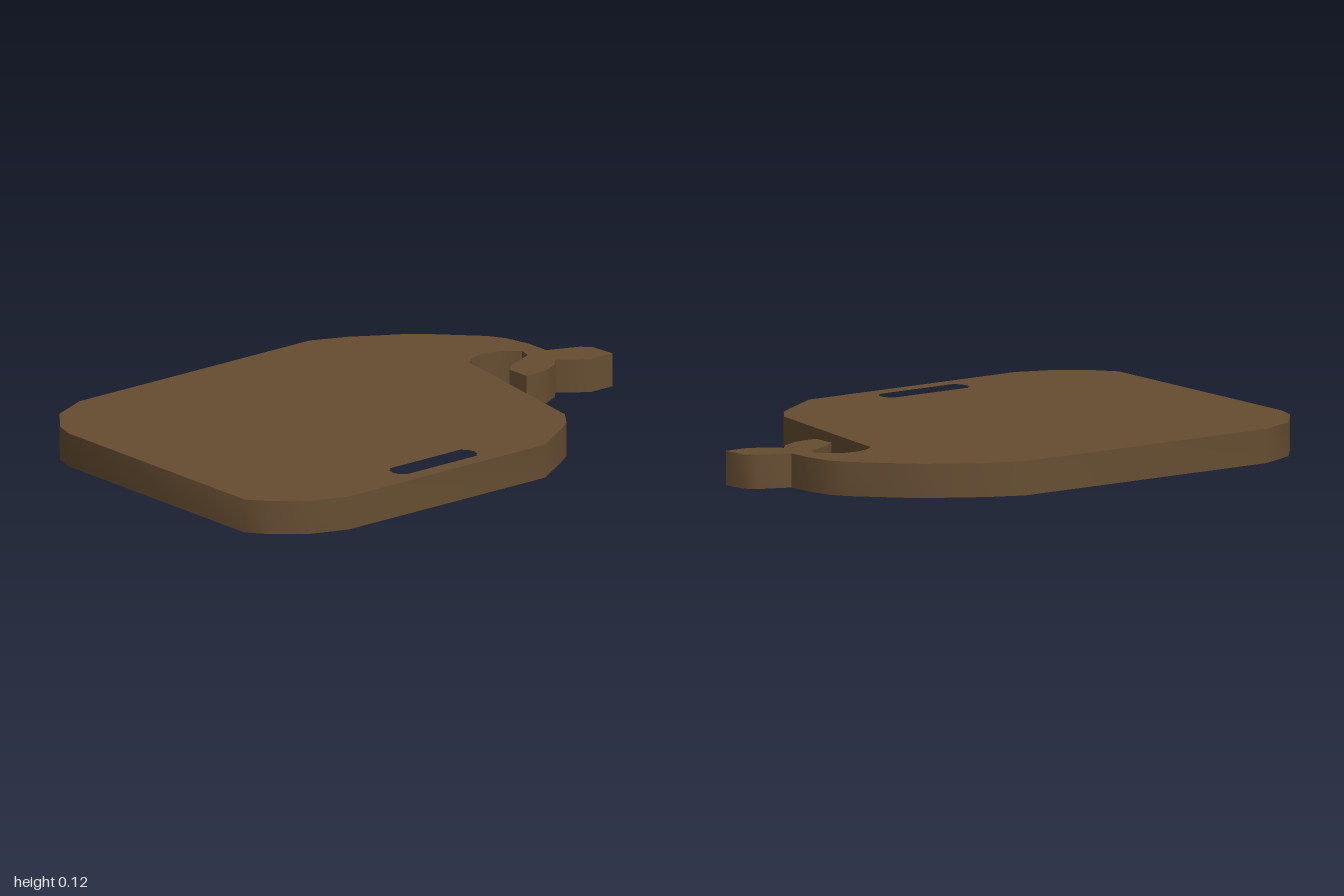
import * as THREE from 'three';
import { toCreasedNormals } from 'three/addons/utils/BufferGeometryUtils.js';

const THICKNESS = 0.12;

// Plan outline as [x, z] pairs
const body = [
  [0.555, -0.16], [0.535, -0.03], [0.445, 0.485], [0.39, 0.56], [0.34, 0.595], [0.18, 0.695],
  [-0.705, 0.695], [-0.84, 0.645], [-0.945, 0.56], [-1, 0.49],
  [-1, -0.45], [-0.975, -0.53], [-0.885, -0.64], [-0.745, -0.7],
  [0.29, -0.7], [0.42, -0.645], [0.5, -0.595], [0.6, -0.535], [0.655, -0.485],
  [0.79, -0.345], [0.825, -0.285], [0.847, -0.19],
];
const flukes = [
  [0.847, -0.095], [0.96, -0.05], [0.992, -0.015], [1, 0.078], [0.905, 0.078], [0.84, 0.035],
  [0.805, 0.005], [0.77, 0.042], [0.705, 0.073], [0.665, 0.078],
  [0.613, 0.078], [0.613, -0.012], [0.655, -0.048], [0.765, -0.095],
];
const tailHollow = [
  [0.777, -0.14], [0.735, -0.178], [0.69, -0.2], [0.65, -0.205], [0.595, -0.193],
];
const slot = [
  [-0.395, 0.55], [-0.08, 0.55], [-0.06, 0.57], [-0.055, 0.593], [-0.06, 0.615], [-0.08, 0.637],
  [-0.395, 0.637], [-0.415, 0.615], [-0.42, 0.593], [-0.415, 0.57],
];

const toPoints = (list) => list.map(([x, z]) => new THREE.Vector2(x, -z));

export function createModel() {
  const wood = new THREE.MeshStandardMaterial({ color: 0x664d31 });
  wood.name = 'brown wood';

  // Whale-shaped board with a hanging slot
  const shape = new THREE.Shape(toPoints([...body, ...flukes, ...tailHollow]));
  shape.holes.push(new THREE.Path(toPoints(slot)));
  const solid = new THREE.ExtrudeGeometry(shape, { depth: THICKNESS, bevelEnabled: false });
  solid.rotateX(-Math.PI / 2);

  // Soft curves round the rim, sharp top and bottom edges
  const board = new THREE.Mesh(toCreasedNormals(solid, 0.8), wood);
  board.name = 'whaleBoard';

  const group = new THREE.Group();
  group.name = 'whaleServingBoard';
  group.add(board);
  return group;
}
